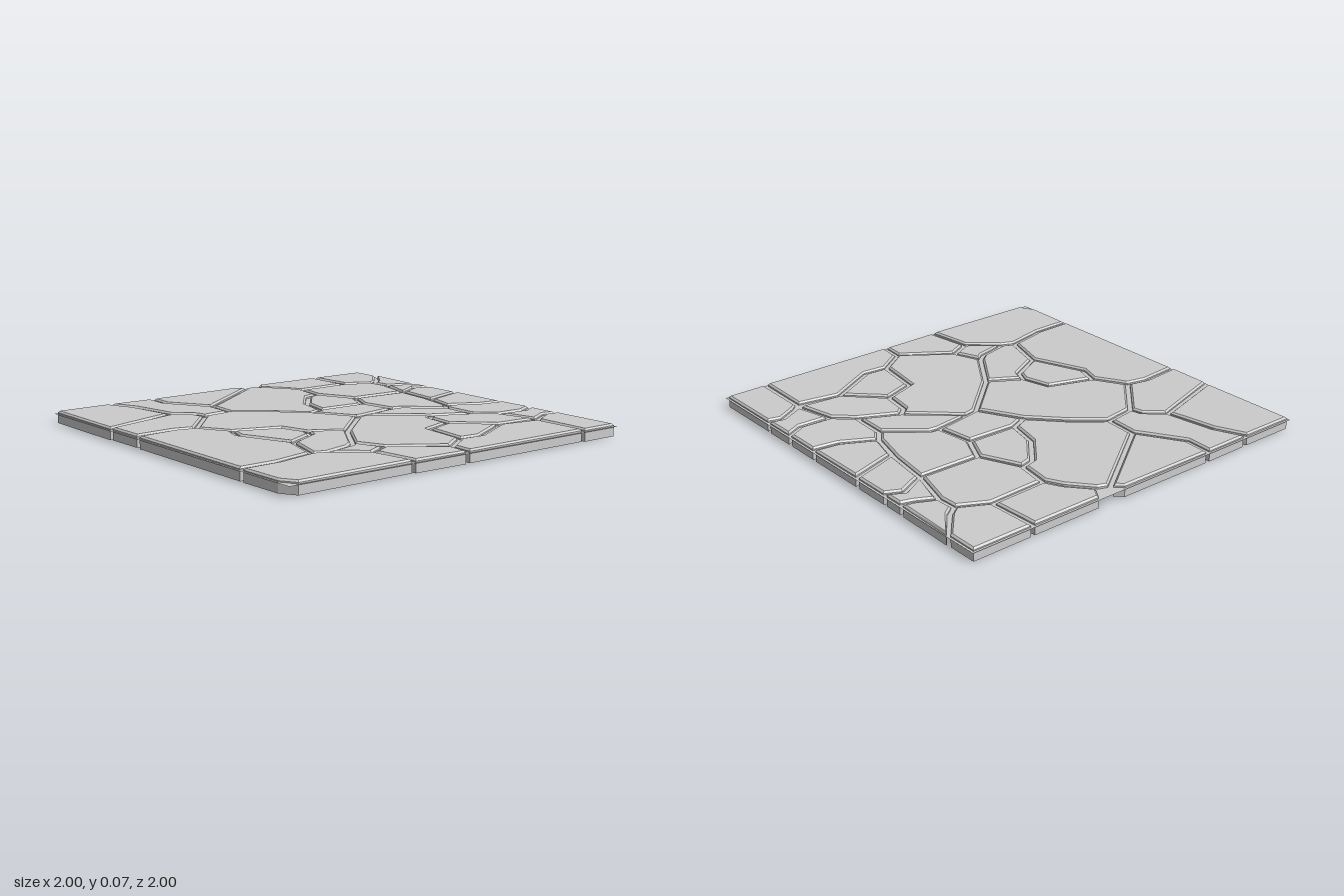
import * as THREE from 'three';

const JOINT = 0.012;   // half the gap between stones
const BEVEL = 0.009;   // worn top edge
const BED_Y = 0.055, TOP_Y = 0.071, BOTTOM_Y = 0.007;

// Move every edge of a counter-clockwise outline inwards by d
function inset(pts, d) {
  const n = pts.length;
  return pts.map((p, i) => {
    const a = p.clone().sub(pts[(i + n - 1) % n]).normalize();
    const b = pts[(i + 1) % n].clone().sub(p).normalize();
    const na = new THREE.Vector2(-a.y, a.x), nb = new THREE.Vector2(-b.y, b.x);
    const k = d / Math.max(0.5, 1 + na.dot(nb));
    return p.clone().addScaledVector(na.add(nb), k);
  });
}

// Open-bottomed slab: wall, bevel and flat top over an outline in x, z
function stoneGeometry(flat, index) {
  let outline = [];
  for (let i = 0; i < flat.length; i += 2) outline.push(new THREE.Vector2(flat[i], flat[i + 1]));
  if (THREE.ShapeUtils.area(outline) < 0) outline.reverse();
  const outer = inset(outline, JOINT);
  const inner = inset(outer, BEVEL);

  // Each stone is laid very slightly out of level
  const centre = outer.reduce((s, p) => s.add(p), new THREE.Vector2()).divideScalar(outer.length);
  const sx = 0.006 * Math.sin(index * 2.4), sz = 0.006 * Math.cos(index * 3.7);
  const lift = (ring, y) => ring.map(p =>
    new THREE.Vector3(p.x, Math.max(0, y + (p.x - centre.x) * sx + (p.y - centre.y) * sz), p.y));
  const rings = [lift(outer, BOTTOM_Y), lift(outer, TOP_Y - BEVEL), lift(inner, TOP_Y)];

  const tris = [];
  for (let r = 0; r < 2; r++) {
    const lo = rings[r], hi = rings[r + 1];
    lo.forEach((p, i) => {
      const j = (i + 1) % lo.length;
      tris.push(p, hi[i], lo[j], lo[j], hi[i], hi[j]);
    });
  }
  for (const [a, b, c] of THREE.ShapeUtils.triangulateShape(inner, [])) {
    tris.push(rings[2][a], rings[2][c], rings[2][b]);
  }
  const geometry = new THREE.BufferGeometry().setFromPoints(tris);
  geometry.computeVertexNormals();
  return geometry;
}

export function createModel() {
  const group = new THREE.Group();
  group.name = 'flagstonePaving';
  const material = new THREE.MeshStandardMaterial({ color: 0xcccccc, side: THREE.DoubleSide });

  // Mortar bed
  const bed = new THREE.Mesh(new THREE.PlaneGeometry(2, 2).rotateX(-Math.PI / 2), material);
  bed.name = 'mortarBed';
  bed.position.y = BED_Y;
  group.add(bed);

  let count = 0;
  const stone = (...outline) => {
    const mesh = new THREE.Mesh(stoneGeometry(outline, ++count), material);
    mesh.name = 'stone' + count;
    group.add(mesh);
  };

  // Back row
  stone(-1, -1, -0.69, -1, -0.62, -0.84, -0.575, -0.575, -1, -0.445);
  stone(-0.69, -1, -0.425, -1, -0.43, -0.85, -0.29, -0.62, -0.3, -0.45, -0.465, -0.425, -0.48, -0.49, -0.575, -0.575, -0.62, -0.84);
  stone(-0.425, -1, 0.12, -1, 0.17, -0.95, -0.29, -0.62, -0.43, -0.85);
  stone(0.27, -1, 0.66, -1, 0.675, -0.73, 0.37, -0.72, 0.325, -0.81, 0.225, -0.93);
  stone(0.66, -1, 1, -1, 1, -0.83, 0.88, -0.69, 0.825, -0.65, 0.675, -0.73);

  // Middle and left
  stone(0.17, -0.95, 0.225, -0.93, 0.325, -0.81, 0.37, -0.72, 0.345, -0.55, 0.27, -0.53, 0.14, -0.37, 0.1, -0.2, 0.01, -0.16, -0.15, -0.33, -0.3, -0.45, -0.29, -0.62);
  stone(-1, -0.445, -0.575, -0.575, -0.48, -0.49, -0.465, -0.425, -0.67, -0.195, -0.78, -0.22, -1, -0.2);
  stone(-0.67, -0.195, -0.465, -0.425, -0.3, -0.45, -0.15, -0.33, 0.01, -0.16, 0.13, 0.06, -0.13, 0.3, -0.3, 0.2, -0.34, 0.05, -0.575, -0.03);
  stone(-1, -0.2, -0.78, -0.22, -0.67, -0.195, -0.575, -0.03, -0.61, 0.08, -0.5, 0.36, -0.57, 0.59, -0.79, 0.64, -1, 0.645);
  stone(-0.575, -0.03, -0.34, 0.05, -0.3, 0.2, -0.33, 0.27, -0.5, 0.36, -0.61, 0.08);
  stone(-0.5, 0.36, -0.33, 0.27, -0.3, 0.2, -0.13, 0.3, -0.29, 0.54, -0.34, 0.58, -0.5, 0.62, -0.57, 0.59);

  // Middle right
  stone(0.37, -0.72, 0.675, -0.73, 0.825, -0.65, 0.83, -0.55, 0.77, -0.33, 0.44, -0.34, 0.345, -0.55);
  stone(0.27, -0.53, 0.345, -0.55, 0.44, -0.34, 0.37, -0.19, 0.1, -0.2, 0.14, -0.37);
  stone(0.01, -0.16, 0.1, -0.2, 0.37, -0.19, 0.4, 0.01, 0.13, 0.06);
  stone(0.44, -0.34, 0.77, -0.33, 0.74, -0.1, 0.69, 0.1, 0.64, 0.17, 0.45, 0.015, 0.4, 0.01, 0.37, -0.19);
  stone(0.2, 0.045, 0.4, 0.01, 0.45, 0.015, 0.64, 0.17, 0.635, 0.36, 0.44, 0.265);
  stone(0.13, 0.06, 0.2, 0.045, 0.44, 0.265, 0.39, 0.31, 0.37, 0.46, 0.2, 0.52, 0.165, 0.77, 0.02, 0.87, -0.23, 0.69, -0.29, 0.54, -0.13, 0.3);

  // Right edge
  stone(0.825, -0.65, 0.88, -0.69, 1, -0.83, 1, -0.48, 0.93, -0.5, 0.83, -0.55);
  stone(0.83, -0.55, 0.93, -0.5, 1, -0.48, 1, -0.355, 0.91, -0.4, 0.77, -0.33);
  stone(0.77, -0.33, 0.91, -0.4, 1, -0.355, 1, -0.15, 0.735, -0.065);
  stone(0.735, -0.065, 1, -0.15, 1, 0.21, 0.86, 0.19, 0.69, 0.1);
  stone(0.64, 0.17, 0.69, 0.1, 0.86, 0.19, 1, 0.21, 1, 0.41, 0.9, 0.46, 0.735, 0.45, 0.635, 0.36);
  stone(0.735, 0.45, 0.9, 0.46, 1, 0.41, 1, 0.61, 0.92, 0.59, 0.785, 0.66);

  // Front row
  stone(0.44, 0.265, 0.635, 0.36, 0.735, 0.45, 0.785, 0.66, 0.55, 0.64, 0.37, 0.46, 0.39, 0.31);
  stone(0.2, 0.52, 0.37, 0.46, 0.55, 0.64, 0.29, 0.78, 0.165, 0.77);
  stone(-0.5, 0.62, -0.34, 0.58, -0.29, 0.54, -0.23, 0.69, -0.345, 0.75);
  stone(-1, 0.645, -0.79, 0.64, -0.57, 0.59, -0.5, 0.62, -0.345, 0.75, -0.31, 1, -0.95, 1, -1, 0.91);
  stone(-0.345, 0.75, -0.23, 0.69, 0.02, 0.87, 0.01, 1, -0.31, 1);
  stone(0.02, 0.87, 0.165, 0.77, 0.29, 0.78, 0.55, 0.64, 0.775, 0.68, 0.77, 1, 0.01, 1);
  stone(0.775, 0.68, 0.81, 0.65, 0.92, 0.59, 1, 0.61, 1, 1, 0.77, 1);

  return group;
}
